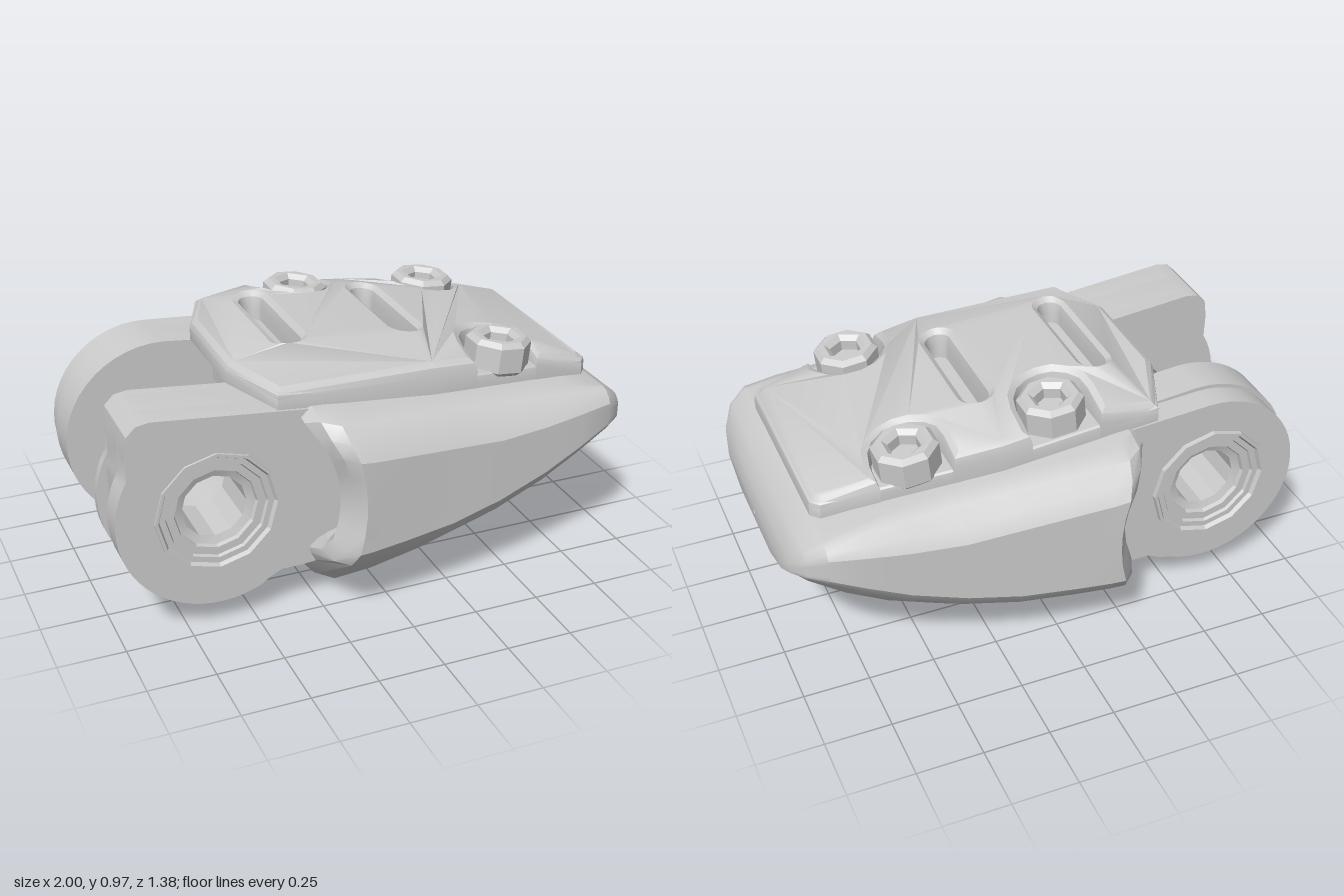
import * as THREE from 'three';
import { toCreasedNormals } from 'three/addons/utils/BufferGeometryUtils.js';

const material = new THREE.MeshStandardMaterial({ color: 0xcccccc });
const PIN = { x: -0.633, y: 0.47 };
const baseY = (x) => 0.782 - 0.096 * x; // sloping top of the body

function part(name, geometry, crease = 0.6) {
  const mesh = new THREE.Mesh(toCreasedNormals(geometry, crease), material);
  mesh.name = name;
  return mesh;
}

function lerpTable(table, x) {
  for (let i = 1; i < table.length; i++) {
    const [x0, y0] = table[i - 1], [x1, y1] = table[i];
    if (x <= x1 || i === table.length - 1) return y0 + (y1 - y0) * (x - x0) / (x1 - x0);
  }
}

// Cross-section of the body, from top centre round +z, the bottom and -z
function section([, w, top, edge, bottom, b]) {
  const k = Math.min(1, (top - edge) / 0.4);
  const hi = top - 0.13 * k, lo = edge + 0.04 * k;
  const half = [[w * 0.4, top], [w - 0.16 * k, top], [w - 0.09 * k, top - 0.02 * k], [w - 0.035 * k, top - 0.07 * k]];
  for (let i = 0; i <= 5; i++) half.push([w, hi + (lo - hi) * i / 5]);
  half.push([w - 0.04 * k, edge - 0.02 * k], [b + 0.04 * k, bottom + 0.02 * k], [b, bottom]);
  return [...half, ...half.slice().reverse().map(([z, y]) => [-z, y])];
}

function bodyGeometry() {
  // x, half width, top, side's lower edge, bottom, bottom half width, rear hollow
  const stations = [
    [-0.12, 0.01, 0.5, 0.49, 0.48, 0.005, 0],
    [-0.2, 0.54, 0.72, 0.35, 0.25, 0.25, 0.1],
    [-0.3, 0.57, 0.77, 0.32, 0.2, 0.28, 0.1],
    [-0.32, 0.59, 0.79, 0.3, 0.17, 0.3, 0.1],
    [-0.28, 0.645, 0.81, 0.275, 0.11, 0.32, 0.09],
    [-0.22, 0.69, 0.805, 0.27, 0.04, 0.33, 0.06],
    [-0.15, 0.685, 0.797, 0.27, 0, 0.33, 0.03],
    [0, 0.668, 0.783, 0.275, 0.005, 0.32, 0],
    [0.2, 0.645, 0.764, 0.29, 0.03, 0.3, 0],
    [0.4, 0.622, 0.745, 0.33, 0.075, 0.28, 0],
    [0.6, 0.598, 0.726, 0.4, 0.14, 0.26, 0],
    [0.75, 0.58, 0.71, 0.475, 0.21, 0.24, 0],
    [0.88, 0.555, 0.69, 0.54, 0.285, 0.21, 0],
    [0.945, 0.51, 0.645, 0.55, 0.345, 0.2, 0],
    [0.985, 0.44, 0.58, 0.535, 0.41, 0.2, 0],
    [1, 0.36, 0.52, 0.5, 0.45, 0.2, 0],
    [1, 0.01, 0.49, 0.485, 0.48, 0.005, 0],
  ];
  const positions = [], index = [];
  const n = section(stations[0]).length;
  stations.forEach((s, i) => {
    section(s).forEach(([z, y], j) => {
      const hollow = s[6] * Math.max(0, 1 - ((y - 0.49) / 0.28) ** 2);
      positions.push(s[0] + hollow, y, z);
      if (i === stations.length - 1) return;
      const a = i * n + j, b = i * n + (j + 1) % n;
      index.push(a, b, a + n, b, b + n, a + n);
    });
  });
  const g = new THREE.BufferGeometry();
  g.setAttribute('position', new THREE.Float32BufferAttribute(positions, 3));
  g.setIndex(index);
  return g;
}

// Slab cut from an x-y outline between two z values
function slab(points, z0, z1, holeRadius = 0) {
  const shape = new THREE.Shape(points.map(([x, y]) => new THREE.Vector2(x, y)));
  if (holeRadius) shape.holes.push(new THREE.Path().absarc(PIN.x, PIN.y, holeRadius, 0, Math.PI * 2, true));
  return new THREE.ExtrudeGeometry(shape, { depth: z1 - z0, bevelEnabled: false, curveSegments: 6 }).translate(0, 0, z0);
}

function arc(r, from, to, steps) {
  return Array.from({ length: steps + 1 }, (_, i) => {
    const a = THREE.MathUtils.degToRad(from + (to - from) * i / steps);
    return [PIN.x + r * Math.cos(a), PIN.y + r * Math.sin(a)];
  });
}

// Plate outline in x and -z, optionally notched beside the bolts
function plateShape(notched) {
  const s = new THREE.Shape();
  const r = 0.13;
  const edge = (x) => (x < 0.2 ? 0.46 : 0.46 - 0.11 * (x - 0.2));
  const notch = (cx, side, dir) => {
    s.lineTo(cx - dir * r, side * edge(cx - dir * r));
    s.lineTo(cx - dir * r, side * 0.33);
    for (let i = 1; i <= 8; i++) {
      const a = Math.PI * i / 8;
      s.lineTo(cx - dir * r * Math.cos(a), side * (0.33 - r * Math.sin(a)));
    }
    s.lineTo(cx + dir * r, side * edge(cx + dir * r));
  };
  s.moveTo(-0.5, -0.21);
  s.lineTo(-0.4, -0.46);
  s.lineTo(0.2, -0.46);
  if (notched) notch(0.51, -1, 1);
  s.lineTo(0.85, -0.385);
  s.lineTo(0.88, -0.35);
  s.lineTo(0.88, 0.35);
  s.lineTo(0.85, 0.385);
  if (notched) notch(0.51, 1, -1);
  s.lineTo(0.2, 0.46);
  if (notched) notch(-0.04, 1, -1);
  s.lineTo(-0.4, 0.46);
  s.lineTo(-0.5, 0.21);
  return s;
}

// Extrude the plate upwards and bend its top to a height rule
function plateGeometry(shape, bevel, topY) {
  const depth = 0.1, t = 0.05;
  const g = new THREE.ExtrudeGeometry(shape, {
    depth, bevelEnabled: true, bevelThickness: t, bevelSize: bevel, bevelOffset: -bevel, bevelSegments: 2, curveSegments: 8,
  }).rotateX(-Math.PI / 2);
  const p = g.attributes.position;
  for (let i = 0; i < p.count; i++) {
    const x = p.getX(i), low = baseY(x) - 0.005;
    const k = Math.max(0, p.getY(i)) / (depth + t);
    p.setY(i, low + (topY(x, p.getZ(i)) - low) * k);
  }
  return g;
}

function bolt(x, z) {
  const polygon = (r, n, off) => Array.from({ length: n }, (_, i) => {
    const a = (i + off) / n * Math.PI * 2;
    return new THREE.Vector2(r * Math.cos(a), r * Math.sin(a));
  });
  const shape = new THREE.Shape(polygon(0.122, 8, 0.5));
  shape.holes.push(new THREE.Path(polygon(0.06, 6, 0.5)));
  const head = new THREE.ExtrudeGeometry(shape, {
    depth: 0.095, bevelThickness: 0.018, bevelSize: 0.018, bevelOffset: -0.018, bevelSegments: 1,
  }).rotateX(-Math.PI / 2);
  const group = new THREE.Group();
  group.name = 'bolt';
  group.add(part('boltHead', head, 0.3));
  group.add(part('boltSocketFloor', new THREE.CylinderGeometry(0.085, 0.085, 0.05, 8).translate(0, 0.03, 0), 0.3));
  group.position.set(x, baseY(x) + 0.05, z);
  group.rotation.z = -0.1;
  return group;
}

export function createModel() {
  const model = new THREE.Group();
  model.name = 'hingedBlock';
  model.add(part('body', bodyGeometry(), 0.5));

  // Front lug with a squared top; its middle layer is cut back as a rear notch
  const tail = [[-0.45, 0.155], [-0.4, 0.18], [-0.32, 0.18], [-0.1, 0.2], [-0.1, 0.785]];
  const square = [...arc(0.37, 150, 295, 24), ...tail, [-0.86, 0.863], [-0.91, 0.855], [-0.945, 0.82], [-0.955, 0.75]];
  const cut = square.map(([x, y]) => [Math.max(x, -0.96), y]);
  [[0.2, 0.235, square], [0.235, 0.37, cut], [0.37, 0.47, square]].forEach(([z0, z1, outline]) =>
    model.add(part('frontLug', slab(outline, z0, z1, z1 > 0.4 ? 0.225 : 0.13))));

  // Rounded rear lug in two stepped layers
  const round = (r) => [...arc(r, 86, 295, 28), ...tail];
  model.add(part('rearLug', slab(round(0.37), -0.36, -0.2, 0.13)));
  model.add(part('rearLugFace', slab(round(0.355), -0.46, -0.36, 0.225)));

  // Curved web joining the lugs below and in front of the pin hole
  const web = [...arc(0.345, 260, 300, 6), [-0.38, 0.19], [-0.1, 0.2], [-0.1, 0.785], [-0.42, 0.815], ...arc(0.28, 40, -100, 14)];
  model.add(part('web', slab(web, -0.22, 0.22)));

  // Stepped bushings lining the pin hole
  const rings = [[0.12, -0.27], [0.12, -0.045], [0.15, -0.035], [0.155, -0.02], [0.185, -0.02], [0.19, -0.008], [0.212, -0.008], [0.22, 0.008], [0.232, 0.008], [0.235, -0.02]];
  for (const side of [1, -1]) {
    const bushing = part('pinBushing', new THREE.LatheGeometry(rings.map(([r, y]) => new THREE.Vector2(r, y)), 12).rotateX(Math.PI / 2), 0.3);
    bushing.material = material.clone();
    bushing.material.side = THREE.DoubleSide;
    bushing.position.set(PIN.x, PIN.y, side * 0.47);
    if (side < 0) bushing.rotation.y = Math.PI;
    model.add(bushing);
  }

  // Top plate with two slots, over a thin base that floors slots and notches
  const shape = plateShape(true);
  for (const x of [-0.26, 0.2]) {
    const slot = new THREE.Path();
    slot.absarc(x, 0.19, 0.04, 0, Math.PI, false);
    slot.absarc(x, -0.19, 0.04, Math.PI, Math.PI * 2, false);
    slot.closePath();
    shape.holes.push(slot);
  }
  const crest = [[-0.5, 0.895], [-0.3, 0.965], [-0.1, 0.965], [0.1, 0.942], [0.3, 0.918], [0.62, 0.86], [0.85, 0.79], [0.88, 0.775]];
  const plateTop = (x, z) => lerpTable(crest, x) - 0.3 * Math.max(0, Math.abs(z) - 0.27);
  model.add(part('topPlate', plateGeometry(shape, 0.03, plateTop), 0.5));
  model.add(part('plateBase', plateGeometry(plateShape(false), 0.01, (x) => baseY(x) + 0.055), 0.5));

  for (const [x, z] of [[-0.04, -0.33], [0.51, -0.33], [0.51, 0.33]]) model.add(bolt(x, z));
  return model;
}
